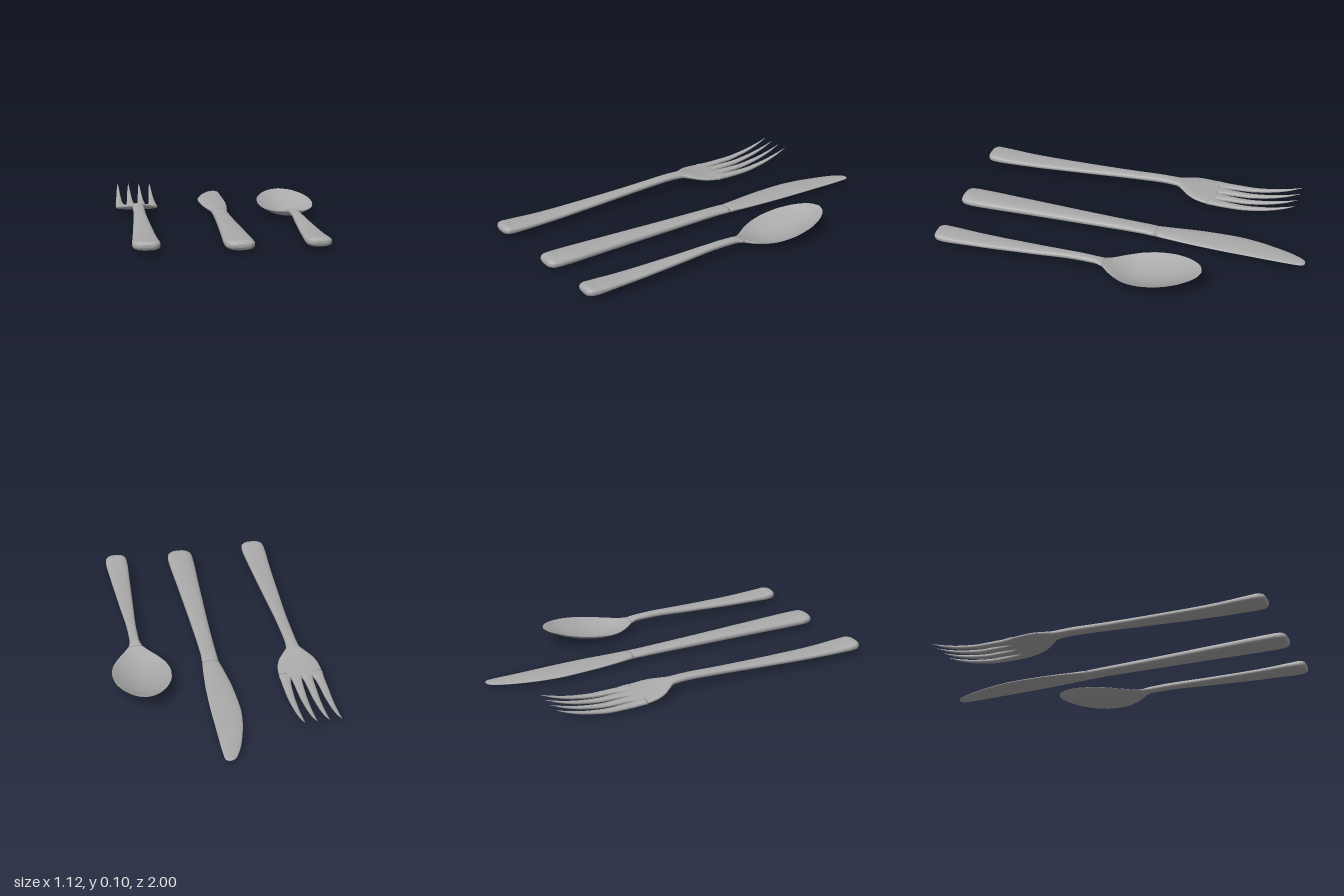
import * as THREE from 'three';

// Monotone smooth interpolation of section rows by z (rows run from +z to -z)
function sampleRows(rows, steps) {
  const n = rows.length;
  const delta = (i, k) => (rows[i + 1][k] - rows[i][k]) / (rows[i + 1][0] - rows[i][0]);
  const slope = (i, k) => {
    if (i === 0) return delta(0, k);
    if (i === n - 1) return delta(n - 2, k);
    const a = delta(i - 1, k), b = delta(i, k);
    return a * b <= 0 ? 0 : (2 * a * b) / (a + b);
  };
  const out = [];
  for (let i = 0; i < n - 1; i++) {
    const h = rows[i + 1][0] - rows[i][0];
    for (let s = 0; s < steps; s++) {
      const t = s / steps, t2 = t * t, t3 = t2 * t;
      out.push(rows[i].map((p, k) => k === 0 ? p + h * t :
        (2 * t3 - 3 * t2 + 1) * p + (t3 - 2 * t2 + t) * h * slope(i, k) +
        (3 * t2 - 2 * t3) * rows[i + 1][k] + (t3 - t2) * h * slope(i + 1, k)));
    }
  }
  out.push(rows[n - 1]);
  return out;
}

// Loft of rounded sections: [z, centre x, half width, y, half thickness, dish depth, squareness]
function loft(name, material, rows, steps = 5, sides = 32) {
  const rings = sampleRows(rows, steps);
  const pos = [], index = [];
  const power = (v, e) => Math.sign(v) * Math.pow(Math.abs(v), e);
  for (const [z, cx, w, y, h, dish, n] of rings) {
    for (let i = 0; i < sides; i++) {
      const a = (i / sides) * Math.PI * 2;
      const u = power(Math.cos(a), 2 / n), v = power(Math.sin(a), 2 / n);
      pos.push(cx + u * w, y + v * h - dish * (1 - u * u), z);
    }
  }
  const last = rings.length - 1;
  for (let j = 0; j < last; j++) {
    for (let i = 0; i < sides; i++) {
      const k = (i + 1) % sides;
      const a = j * sides + i, b = j * sides + k, c = a + sides, d = b + sides;
      index.push(a, c, b, b, c, d);
    }
  }
  // end caps
  for (const j of [0, last]) {
    const [z, cx, , y, , dish] = rings[j];
    const centre = pos.length / 3;
    pos.push(cx, y - dish, z);
    for (let i = 0; i < sides; i++) {
      const a = j * sides + i, b = j * sides + (i + 1) % sides;
      if (j === 0) index.push(centre, a, b); else index.push(centre, b, a);
    }
  }
  const geometry = new THREE.BufferGeometry();
  geometry.setAttribute('position', new THREE.Float32BufferAttribute(pos, 3));
  geometry.setIndex(index);
  geometry.computeVertexNormals();
  const mesh = new THREE.Mesh(geometry, material);
  mesh.name = name;
  return mesh;
}

function createFork(steel) {
  const fork = new THREE.Group();
  fork.name = 'fork';
  fork.position.x = -0.445;
  // handle flowing into the arched neck and the palm
  fork.add(loft('forkHandleAndPalm', steel, [
    [0.997, 0, 0.03, 0.041, 0.008, 0, 2.6],
    [0.99, 0, 0.05, 0.041, 0.019, 0, 2.6],
    [0.965, 0, 0.066, 0.041, 0.024, 0, 2.8],
    [0.92, 0, 0.069, 0.039, 0.022, 0, 2.8],
    [0.75, 0, 0.061, 0.037, 0.018, 0, 2.8],
    [0.4, 0, 0.045, 0.047, 0.017, 0, 2.6],
    [0.1, 0, 0.033, 0.06, 0.017, 0, 2.5],
    [-0.08, 0, 0.031, 0.067, 0.017, 0, 2.5],
    [-0.16, 0, 0.036, 0.064, 0.016, 0, 2.5],
    [-0.2, 0, 0.062, 0.057, 0.015, 0, 2.5],
    [-0.25, 0, 0.097, 0.046, 0.014, 0, 2.6],
    [-0.3, 0, 0.113, 0.037, 0.014, 0, 2.8],
    [-0.36, 0, 0.118, 0.03, 0.013, 0, 3],
    [-0.39, 0, 0.118, 0.028, 0.012, 0, 3],
  ]));
  // four tapering, upswept tines
  for (const s of [-1.5, -0.5, 0.5, 1.5]) {
    const x = s * 0.064, base = s * 0.059;
    fork.add(loft('forkTine', steel, [
      [-0.36, base, 0.031, 0.03, 0.012, 0, 2.8],
      [-0.395, base, 0.029, 0.028, 0.012, 0, 2.8],
      [-0.43, s * 0.0615, 0.0245, 0.026, 0.012, 0, 2.6],
      [-0.55, x, 0.019, 0.027, 0.011, 0, 2.5],
      [-0.68, x, 0.013, 0.043, 0.009, 0, 2.4],
      [-0.78, x, 0.008, 0.068, 0.006, 0, 2.2],
      [-0.858, x, 0.001, 0.097, 0.001, 0, 2],
    ], 5, 20));
  }
  return fork;
}

function createKnife(steel) {
  const knife = new THREE.Group();
  knife.name = 'knife';
  knife.position.x = 0.01;
  knife.add(loft('knifeHandle', steel, [
    [0.978, 0, 0.03, 0.033, 0.008, 0, 2.5],
    [0.97, 0, 0.053, 0.033, 0.02, 0, 2.5],
    [0.945, 0, 0.07, 0.033, 0.026, 0, 2.6],
    [0.9, 0, 0.075, 0.032, 0.026, 0, 2.6],
    [0.6, 0, 0.064, 0.031, 0.024, 0, 2.6],
    [0.2, 0, 0.049, 0.029, 0.021, 0, 2.5],
    [-0.08, 0, 0.043, 0.028, 0.018, 0, 2.4],
    [-0.17, 0.003, 0.045, 0.027, 0.016, 0, 2.3],
  ]));
  // curved cutting edge on the right, nearly straight back on the left
  knife.add(loft('knifeBlade', steel, [
    [-0.17, 0.003, 0.045, 0.027, 0.016, 0, 2.3],
    [-0.28, 0, 0.059, 0.026, 0.014, 0, 2.1],
    [-0.42, -0.003, 0.072, 0.026, 0.013, 0, 2],
    [-0.6, -0.004, 0.078, 0.025, 0.012, 0, 2],
    [-0.72, 0.002, 0.072, 0.024, 0.011, 0, 2],
    [-0.83, 0.014, 0.06, 0.023, 0.009, 0, 2],
    [-0.91, 0.026, 0.048, 0.023, 0.008, 0, 2],
    [-0.965, 0.037, 0.035, 0.023, 0.007, 0, 2],
    [-0.99, 0.043, 0.025, 0.023, 0.005, 0, 2],
    [-1.0, 0.045, 0.01, 0.023, 0.002, 0, 2],
  ]));
  return knife;
}

function createSpoon(steel) {
  const spoon = new THREE.Group();
  spoon.name = 'spoon';
  spoon.position.x = 0.398;
  spoon.add(loft('spoonHandle', steel, [
    [0.973, 0, 0.028, 0.043, 0.008, 0, 2.6],
    [0.966, 0, 0.047, 0.043, 0.02, 0, 2.6],
    [0.94, 0, 0.061, 0.042, 0.024, 0, 2.8],
    [0.9, 0, 0.064, 0.04, 0.022, 0, 2.8],
    [0.75, 0, 0.057, 0.04, 0.017, 0, 2.8],
    [0.4, 0, 0.038, 0.049, 0.016, 0, 2.6],
    [0.16, 0, 0.026, 0.058, 0.016, 0, 2.5],
    [0.06, 0, 0.026, 0.056, 0.015, 0, 2.4],
    [0.01, 0, 0.038, 0.049, 0.012, 0.002, 2.2],
  ]));
  // dished bowl with a rim rising to the tip
  spoon.add(loft('spoonBowl', steel, [
    [0.01, 0, 0.038, 0.049, 0.012, 0.002, 2.2],
    [-0.04, 0, 0.078, 0.042, 0.009, 0.013, 2],
    [-0.1, 0, 0.118, 0.043, 0.007, 0.03, 2],
    [-0.17, 0, 0.147, 0.05, 0.006, 0.043, 2],
    [-0.25, 0, 0.158, 0.061, 0.006, 0.049, 2],
    [-0.33, 0, 0.151, 0.073, 0.006, 0.045, 2],
    [-0.41, 0, 0.125, 0.085, 0.005, 0.034, 2],
    [-0.47, 0, 0.087, 0.095, 0.005, 0.018, 2],
    [-0.505, 0, 0.048, 0.1, 0.004, 0.006, 2],
    [-0.519, 0, 0.008, 0.102, 0.002, 0, 2],
  ], 6, 48));
  return spoon;
}

export function createModel() {
  const steel = new THREE.MeshStandardMaterial({ color: 0xaaaaaa });
  steel.name = 'steelGrey';
  const model = new THREE.Group();
  model.name = 'cutlerySet';
  model.add(createFork(steel), createKnife(steel), createSpoon(steel));
  return model;
}
